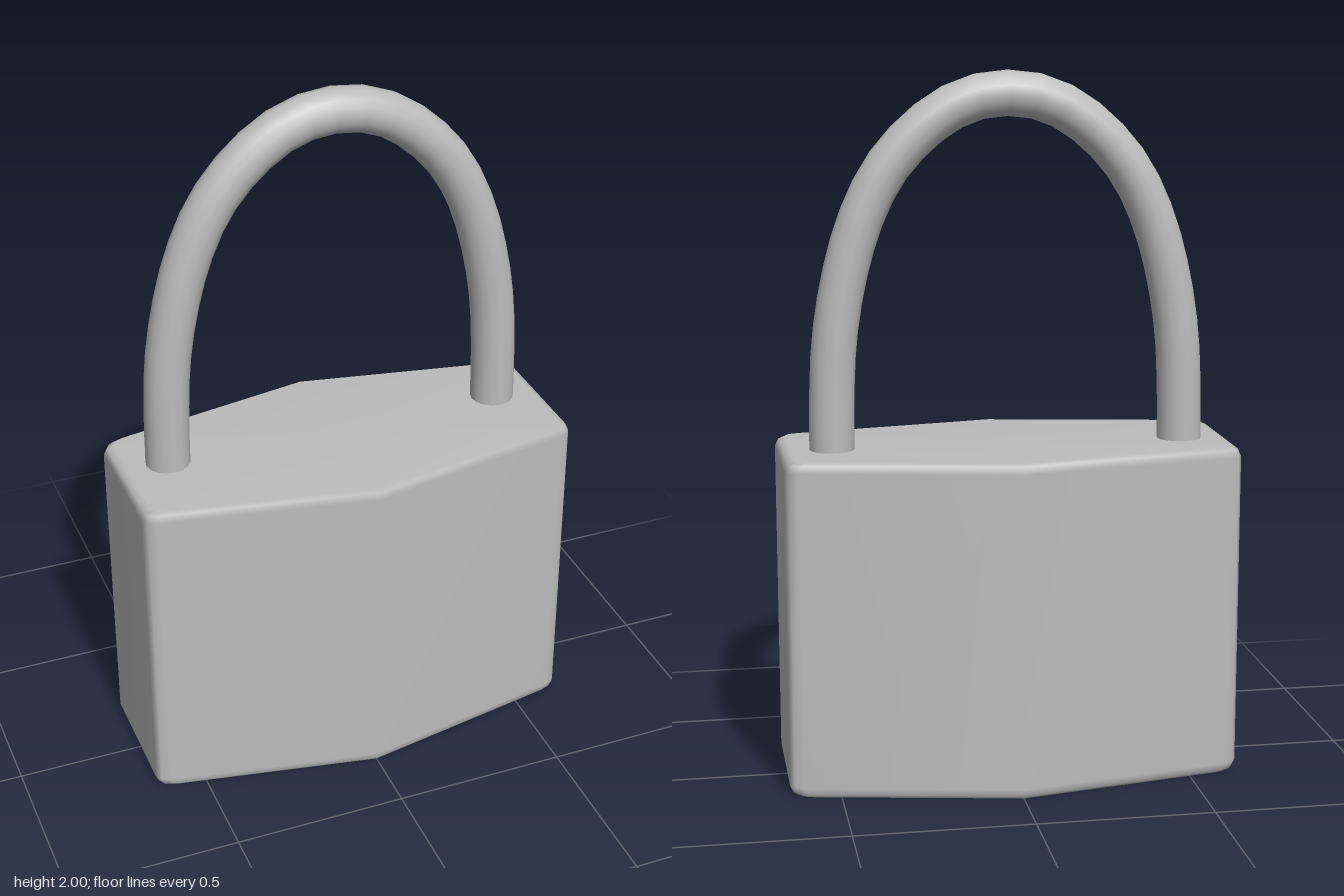
import * as THREE from 'three';

// Quarter of the body's plan outline as [x, z], from the side panel to the front ridge
const quarter = [[0.642, 0.18], [0.63, 0.2], [0.605, 0.209], [0, 0.322]];

// Height and scale of each body ring: soft bevels at bottom and top
const rings = [
  { y: 0, sx: 0.955, sz: 0.962 },
  { y: 0.009, sx: 0.985, sz: 0.985 },
  { y: 0.03, sx: 1, sz: 1 },
  { y: 0.928, sx: 1, sz: 1 },
  { y: 0.949, sx: 0.985, sz: 0.985 },
  { y: 0.958, sx: 0.955, sz: 0.962 },
];

function bodyGeometry() {
  const front = [...quarter, ...quarter.slice(0, 3).reverse().map(([x, z]) => [-x, z])];
  const outline = [...front, ...front.map(([x, z]) => [-x, -z])];
  const n = outline.length;
  const positions = [];
  const index = [];

  for (const { y, sx, sz } of rings) {
    for (const [x, z] of outline) positions.push(x * sx, y, z * sz);
  }
  for (let r = 0; r < rings.length - 1; r++) {
    for (let j = 0; j < n; j++) {
      const k = (j + 1) % n;
      const a = r * n + j, b = r * n + k;
      index.push(a, a + n, b, b, a + n, b + n);
    }
  }

  // End caps
  const top = (rings.length - 1) * n;
  const bottomCentre = rings.length * n;
  positions.push(0, rings[0].y, 0, 0, rings[rings.length - 1].y, 0);
  for (let j = 0; j < n; j++) {
    const k = (j + 1) % n;
    index.push(bottomCentre, j, k, bottomCentre + 1, top + k, top + j);
  }

  const geometry = new THREE.BufferGeometry();
  geometry.setAttribute('position', new THREE.Float32BufferAttribute(positions, 3));
  geometry.setIndex(index);
  geometry.computeVertexNormals();
  return geometry;
}

function shackleGeometry() {
  // Half of the bar's centre line, from the foot inside the body up to the crown
  const half = [
    [0.497, 0.9], [0.495, 1.1], [0.485, 1.27], [0.456, 1.44], [0.408, 1.6],
    [0.338, 1.735], [0.23, 1.85], [0.117, 1.917], [0, 1.937],
  ];
  const path = [...half, ...half.slice(0, -1).reverse().map(([x, y]) => [-x, y])];
  const curve = new THREE.CatmullRomCurve3(path.map(([x, y]) => new THREE.Vector3(x, y, -0.035)));
  return new THREE.TubeGeometry(curve, 32, 0.063, 16);
}

export function createModel() {
  const metal = new THREE.MeshStandardMaterial({ color: 0xbcbcbc });
  metal.name = 'grey metal';

  const group = new THREE.Group();
  group.name = 'padlock';

  const body = new THREE.Mesh(bodyGeometry(), metal);
  body.name = 'body';

  const shackle = new THREE.Mesh(shackleGeometry(), metal);
  shackle.name = 'shackle';

  group.add(body, shackle);
  return group;
}
